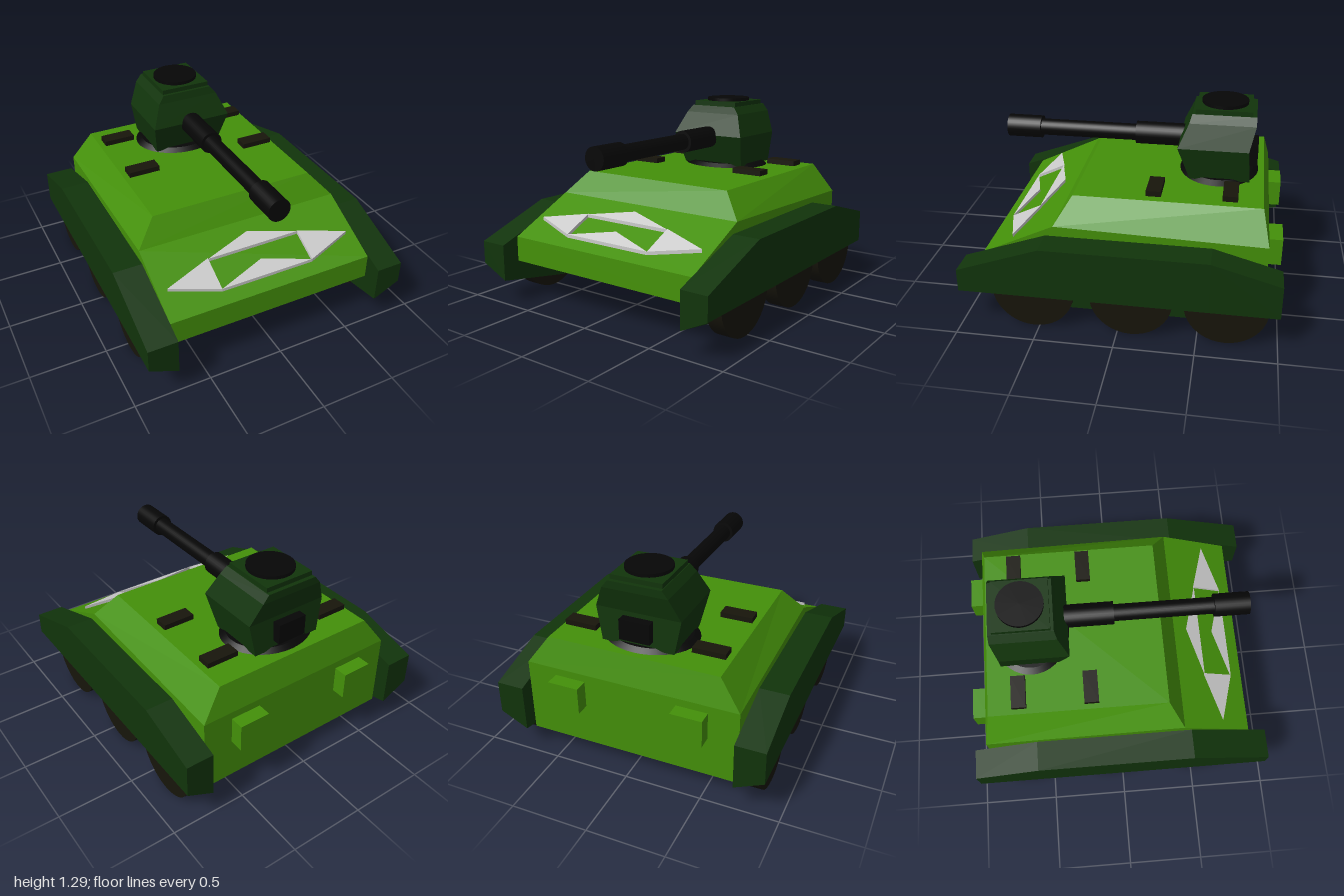
import * as THREE from 'three';

const mat = (color, flatShading = true) => new THREE.MeshStandardMaterial({ color, flatShading });
const GREEN = mat(0x449009), DARK = mat(0x11340b), RUBBER = mat(0x17150b, false),
  PAD = mat(0x17150b), BLACK = mat(0x060606, false), GREY = mat(0xcccccc);
const SHELL = mat(0x11340b);
SHELL.side = THREE.DoubleSide;

// Faceted solid through matching convex loops of [x, y, z] points; fewer edges leave the loop open
function loft(sections, edges = sections[0].length) {
  const tris = [], n = sections[0].length;
  for (let s = 0; s + 1 < sections.length; s++) {
    for (let i = 0; i < edges; i++) {
      const j = (i + 1) % n, a = sections[s], b = sections[s + 1];
      tris.push([a[i], a[j], b[j]], [a[i], b[j], b[i]]);
    }
  }
  const first = sections[0], last = sections[sections.length - 1];
  for (let i = 1; i + 1 < n; i++) {
    tris.push([first[0], first[i + 1], first[i]], [last[0], last[i], last[i + 1]]);
  }
  // Turn the faces outward if the signed volume is negative
  const v = (p) => new THREE.Vector3(...p);
  const volume = tris.reduce((sum, [a, b, c]) => sum + v(a).dot(v(b).cross(v(c))), 0);
  const out = volume < 0 ? tris.map(([a, b, c]) => [a, c, b]) : tris;
  const geo = new THREE.BufferGeometry();
  geo.setAttribute('position', new THREE.Float32BufferAttribute(out.flat(2), 3));
  geo.computeVertexNormals();
  return geo;
}

export function createModel() {
  const model = new THREE.Group();
  const body = new THREE.Group();
  body.name = 'body';
  body.position.x = 0.005;
  model.add(body);
  const add = (parent, name, geo, material, x = 0, y = 0, z = 0) => {
    const mesh = new THREE.Mesh(geo, material);
    mesh.name = name;
    mesh.position.set(x, y, z);
    parent.add(mesh);
    return mesh;
  };

  // Lower hull: side profile [z, y] stretched across the width
  const profile = [[0.42, 0.655], [0.88, 0.435], [0.88, 0.27], [0.5, 0.116], [-0.905, 0.116], [-0.905, 0.62]];
  add(body, 'lowerHull', loft([-0.71, 0.71].map((x) => profile.map(([z, y]) => [x, y, z]))), GREEN);

  // Upper hull: sloped on all four sides
  const deck = (w, yf, zf, yb, zb) => [[-w, yf, zf], [w, yf, zf], [w, yb, zb], [-w, yb, zb]];
  add(body, 'upperHull', loft([deck(0.71, 0.655, 0.42, 0.62, -0.905), deck(0.57, 0.81, 0.32, 0.81, -0.86)]), GREEN);

  // Skirts: shells open below, stations [z, top, inner bottom]; wheels sit inside
  const stations = [[1, 0.4, 0.16], [0.47, 0.59, 0.065], [-0.57, 0.59, 0.065], [-1, 0.47, 0.16]];
  const wheel = new THREE.CylinderGeometry(0.26, 0.26, 0.11, 40).rotateZ(Math.PI / 2);
  for (const s of [-1, 1]) {
    const side = s > 0 ? 'left' : 'right';
    const inner = s > 0 ? 0.717 : -0.707;
    add(model, side + 'Skirt', loft(stations.map(([z, top, low]) =>
      [[inner, low, z], [inner, top, z], [s * 0.9, top, z], [s * 0.9, 0.25, z]]), 3), SHELL);
    for (const z of [0.533, -0.087, -0.675]) add(model, side + 'Wheel', wheel, RUBBER, s * 0.795, 0.261, z);

    // Rear box and deck pads
    add(body, side + 'RearBox', new THREE.BoxGeometry(0.205, 0.18, 0.1), GREEN, s * 0.41, 0.48, -0.945);
    for (const z of [-0.183, -0.655]) {
      add(body, side + 'DeckPad', new THREE.BoxGeometry(0.215, 0.035, 0.095), PAD, s * 0.432, 0.842, z);
    }
  }

  // Four triangular plates [x, z] lying on the sloped front
  const glacis = (z, lift) => 0.655 - 0.478 * (z - 0.42) + lift;
  const plates = [
    [[-0.645, 0.7], [-0.325, 0.6], [-0.325, 0.8]],
    [[0.65, 0.7], [0.325, 0.8], [0.325, 0.6]],
    [[-0.325, 0.605], [0, 0.51], [0.325, 0.605]],
    [[-0.325, 0.8], [0, 0.7], [0.325, 0.8]],
  ];
  for (const p of plates) {
    add(body, 'frontPlate', loft([-0.005, 0.022].map((lift) => p.map(([x, z]) => [x, glacis(z, lift), z]))), GREY);
  }

  // Oval turret ring
  const ring = add(body, 'turretRing', new THREE.CylinderGeometry(0.27, 0.31, 0.025, 40), BLACK, 0, 0.823, -0.56);
  ring.scale.z = 0.84;

  // Turret body: four-sided levels [y, half width, front z, back z]
  const level = ([y, w, f, b]) => deck(w, y, f, y, b);
  add(body, 'turret', loft([
    [0.82, 0.24, -0.38, -0.765], [1.04, 0.28, -0.3, -0.75], [1.19, 0.215, -0.365, -0.787], [1.24, 0.175, -0.38, -0.787],
  ].map(level)), DARK);
  add(body, 'turretRoof', new THREE.BoxGeometry(0.34, 0.035, 0.36), DARK, 0, 1.253, -0.58);
  add(body, 'hatch', new THREE.CylinderGeometry(0.15, 0.15, 0.025, 40), BLACK, 0, 1.28, -0.58);
  add(body, 'turretRearBox', new THREE.BoxGeometry(0.2, 0.135, 0.07), BLACK, 0, 0.943, -0.775);

  // Gun: sleeve, barrel and muzzle [name, radius, back z, front z]
  for (const [name, r, z0, z1] of [['gunSleeve', 0.075, -0.32, 0], ['gunBarrel', 0.055, 0, 0.65], ['gunMuzzle', 0.075, 0.65, 0.88]]) {
    add(body, name, new THREE.CylinderGeometry(r, r, z1 - z0, 32).rotateX(Math.PI / 2), BLACK, 0, 1.025, (z0 + z1) / 2);
  }

  return model;
}
